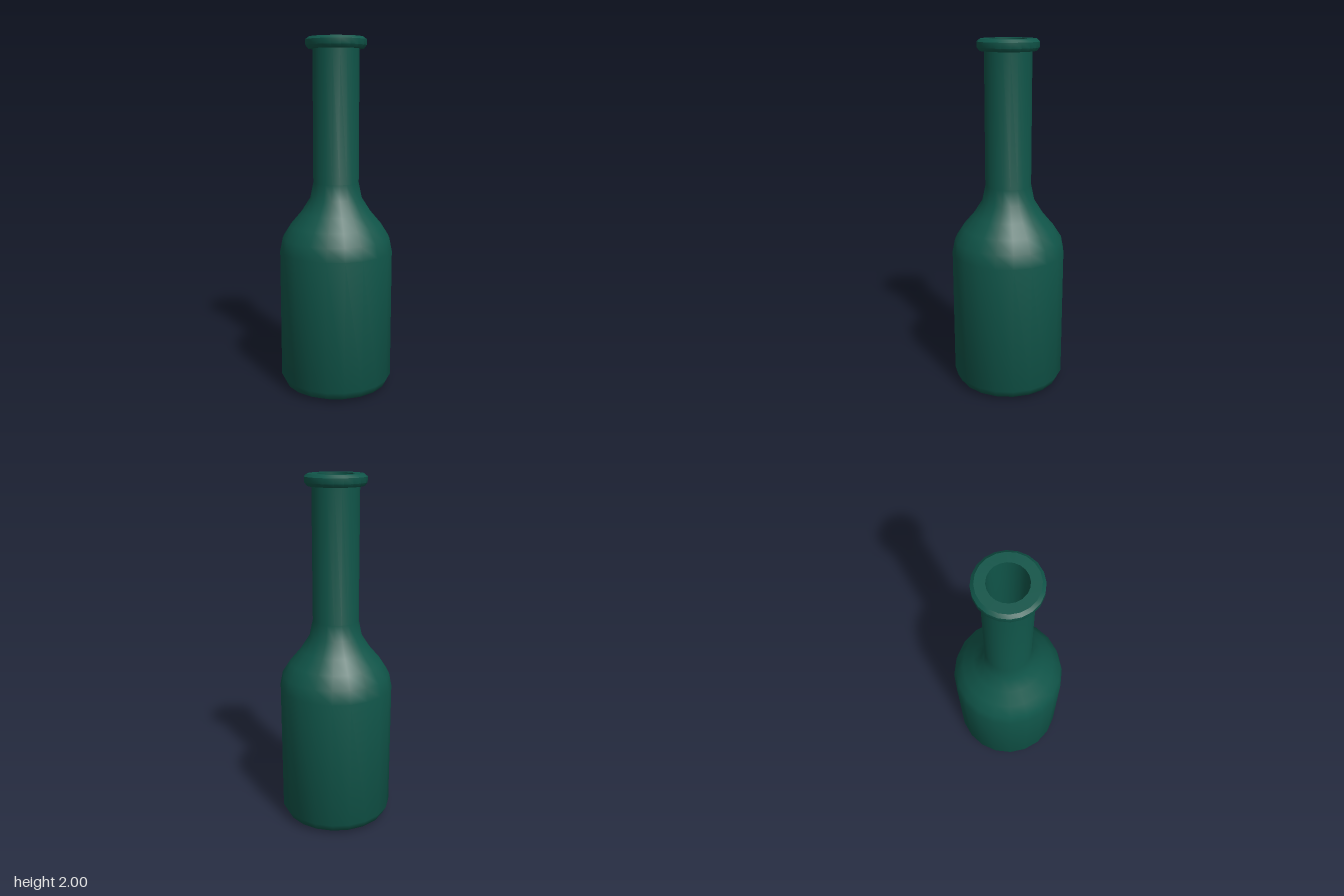
import * as THREE from 'three';
import { toCreasedNormals } from 'three/addons/utils/BufferGeometryUtils.js';

const SIDES = 20;

// Revolve a [radius, height] profile; bevels and rims stay crisp, curves smooth
function turned(name, profile, material) {
  const points = profile.map(([r, y]) => new THREE.Vector2(r, y));
  const geometry = toCreasedNormals(new THREE.LatheGeometry(points, SIDES), 0.7);
  const mesh = new THREE.Mesh(geometry, material);
  mesh.name = name;
  return mesh;
}

export function createModel() {
  const glass = new THREE.MeshStandardMaterial({ color: 0x105549 });
  glass.name = 'dark green glass';

  const bottle = new THREE.Group();
  bottle.name = 'bottle';

  // Base, straight body, sloping shoulder and long neck
  bottle.add(turned('body', [
    [0, 0], [0.26, 0], [0.3, 0.02], [0.323, 0.065],
    [0.323, 0.81], [0.308, 0.885], [0.262, 0.957], [0.2, 1.03],
    [0.149, 1.11], [0.13, 1.2], [0.13, 1.94],
  ], glass));

  // Bevelled collar around the mouth
  bottle.add(turned('lip', [
    [0.13, 1.937], [0.155, 1.937], [0.169, 1.955],
    [0.169, 1.985], [0.152, 2], [0.1, 2],
  ], glass));

  // Hollow inside, from the mouth down to the floor
  bottle.add(turned('interior', [
    [0.1, 2], [0.1, 1.2], [0.12, 1.11], [0.17, 1.03], [0.23, 0.957],
    [0.278, 0.885], [0.293, 0.81], [0.293, 0.08], [0.26, 0.04], [0, 0.04],
  ], glass));

  return bottle;
}
